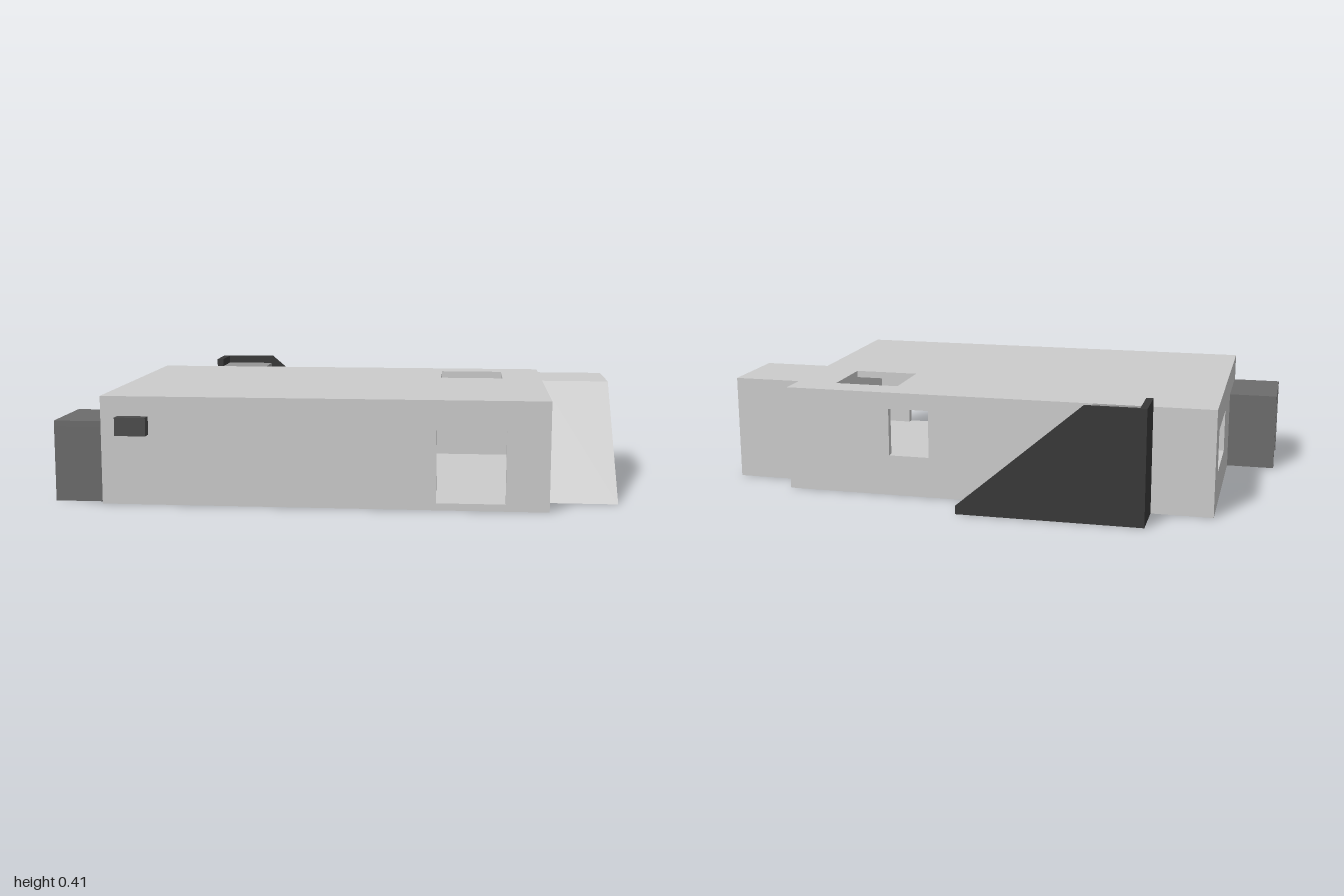
import * as THREE from 'three';

const material = (color) => new THREE.MeshStandardMaterial({ color, side: THREE.DoubleSide, flatShading: true });
const grey = material(0xcccccc);
const stairGrey = material(0x969696);
const porchGrey = material(0x6c6c6c);
const lampGrey = material(0x4c4c4c);
const railDark = material(0x383838);

const WALL = 0.025;
const TOP = 0.385;
const X0 = -0.82, X1 = 0.75, Z0 = -0.44, Z1 = 0.565;

function add(group, name, geometry, mat) {
  const mesh = new THREE.Mesh(geometry, mat);
  mesh.name = name;
  group.add(mesh);
  return mesh;
}

// Box given by its minimum and maximum corners
function box([ax, ay, az], [bx, by, bz]) {
  return new THREE.BoxGeometry(bx - ax, by - ay, bz - az)
    .translate((ax + bx) / 2, (ay + by) / 2, (az + bz) / 2);
}

// Flat slab with rectangular openings; rectangles are [u0, v0, u1, v1]
function slab(rect, holes = []) {
  const corners = ([a, b, c, d]) => [[a, b], [c, b], [c, d], [a, d]].map((p) => new THREE.Vector2(...p));
  const shape = new THREE.Shape(corners(rect));
  shape.holes = holes.map((h) => new THREE.Path(corners(h).reverse()));
  return new THREE.ExtrudeGeometry(shape, { depth: WALL, bevelEnabled: false });
}

// Thin sheet swept straight between two matching polylines
function sheet(a, b) {
  const pos = [];
  for (let i = 0; i < a.length - 1; i++) {
    pos.push(...a[i], ...a[i + 1], ...b[i + 1], ...a[i], ...b[i + 1], ...b[i]);
  }
  const g = new THREE.BufferGeometry();
  g.setAttribute('position', new THREE.Float32BufferAttribute(pos, 3));
  g.computeVertexNormals();
  return g;
}

// Hollow building with door, windows and a roof opening
function building() {
  const g = new THREE.Group();
  g.name = 'building';
  add(g, 'frontWall', slab([X0, 0, X1, TOP], [[0.36, 0.025, 0.6, 0.28]]), grey).position.z = Z1 - WALL;
  add(g, 'backWall', slab([X0, 0, X1, TOP], [[0.21, 0.15, 0.36, 0.325]]), grey).position.z = Z0;

  const inner = [Z0 + WALL, 0, Z1 - WALL, TOP];
  const windowAndDoor = [[-0.32, 0.13, -0.02, 0.285], [0.265, 0.025, 0.505, 0.27]];
  add(g, 'rightWall', slab(inner, windowAndDoor).rotateY(-Math.PI / 2), grey).position.x = X0 + WALL;
  add(g, 'leftWall', slab(inner).rotateY(-Math.PI / 2), grey).position.x = X1;

  const plan = [X0 + WALL, Z0 + WALL, X1 - WALL, Z1 - WALL];
  add(g, 'roof', slab(plan, [[0.36, -0.33, 0.6, -0.1]]).rotateX(Math.PI / 2), grey).position.y = TOP;
  add(g, 'floor', slab(plan).rotateX(Math.PI / 2), grey).position.y = WALL;
  return g;
}

// Side ramp: open underneath, with back wall, landing, slope and outer side
function ramp() {
  const g = new THREE.Group();
  g.name = 'ramp';
  const profile = [[0, -0.33], [TOP, -0.33], [TOP, -0.035], [0, 0.41]];
  const at = (x) => profile.map(([y, z]) => [x, y, z]);
  add(g, 'rampSurface', sheet(at(X1), at(1)), grey);
  const side = new THREE.Shape(profile.map(([y, z]) => new THREE.Vector2(z, y)));
  add(g, 'rampSide', new THREE.ShapeGeometry(side).rotateY(-Math.PI / 2), grey).position.x = 1;
  return g;
}

// Back stairs rising to a landing, with a solid parapet
function stairs() {
  const g = new THREE.Group();
  g.name = 'stairs';
  const steps = 18, start = 0.065, landing = -0.39, end = -0.6, outer = -0.605;
  const rise = TOP / steps, run = (start - landing) / (steps - 1);
  const line = [[start, 0]];
  for (let i = 0; i < steps; i++) {
    const x = start - i * run, y = (i + 1) * rise;
    line.push([x, y], [i === steps - 1 ? end + WALL : x - run, y]);
  }
  const at = (z) => line.map(([x, y]) => [x, y, z]);
  add(g, 'steps', sheet(at(Z0), at(outer + 0.012)), stairGrey);

  const parapet = new THREE.Shape([[end, 0], [start, 0], [start, 0.03], [-0.385, 0.415], [end, 0.415]]
    .map((p) => new THREE.Vector2(...p)));
  add(g, 'parapet', new THREE.ExtrudeGeometry(parapet, { depth: 0.012, bevelEnabled: false }), railDark).position.z = outer;
  add(g, 'stairEndWall', box([end, 0, outer + 0.012], [end + WALL, 0.415, Z0]), railDark);
  return g;
}

// Covered porch around the side door
function porch() {
  const g = new THREE.Group();
  g.name = 'porch';
  const t = 0.02, z0 = 0.24, z1 = 0.53, h = 0.29;
  add(g, 'porchRoof', box([-1, h - t, z0], [X0, h, z1]), porchGrey);
  for (const z of [z0, z1 - t]) add(g, 'porchSide', box([-1, 0, z], [X0, h - t, z + t]), porchGrey);
  return g;
}

export function createModel() {
  const model = new THREE.Group();
  model.name = 'bunker';
  model.add(building(), ramp(), stairs(), porch());
  add(model, 'wallLamp', box([-0.76, 0.25, Z1], [-0.65, 0.315, 0.605]), lampGrey);
  return model;
}
